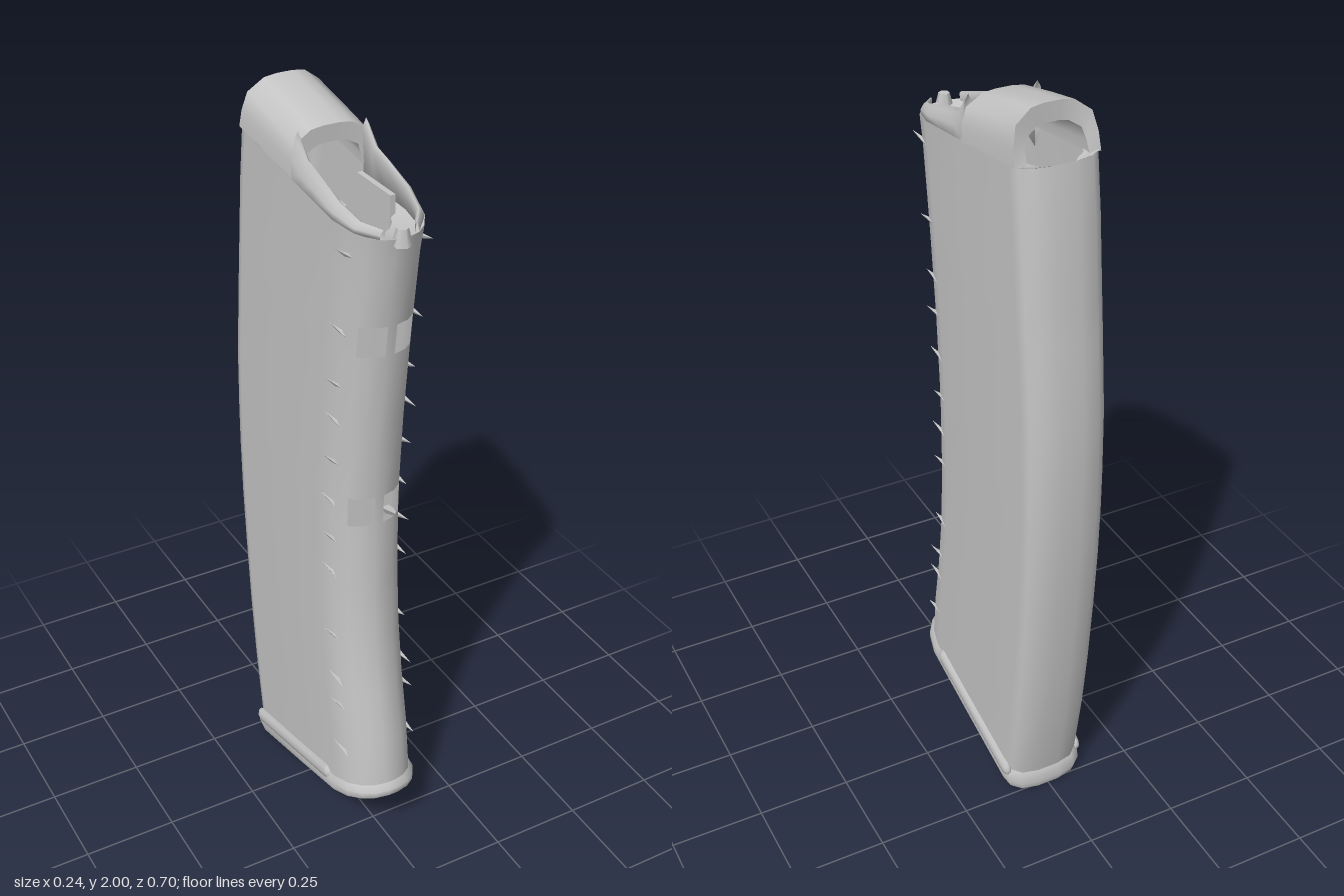
import * as THREE from 'three';

const polymer = new THREE.MeshStandardMaterial({ color: 0xc4c4c4, side: THREE.DoubleSide });
polymer.name = 'grey polymer';

// Surface through rows of [x, y, z] points
function grid(rows, closed = false, skip = () => false) {
  const n = rows[0].length, index = [];
  const cols = closed ? n : n - 1;
  for (let j = 0; j < rows.length - 1; j++) {
    for (let i = 0; i < cols; i++) {
      if (skip(j, i)) continue;
      const k = (i + 1) % n;
      const a = j * n + i, b = j * n + k, c = b + n, d = a + n;
      index.push(a, b, c, a, c, d);
    }
  }
  const g = new THREE.BufferGeometry();
  g.setAttribute('position', new THREE.Float32BufferAttribute(rows.flat(2), 3));
  g.setIndex(index);
  g.computeVertexNormals();
  return g;
}

// Half outline of the section, front to back: [x, depth from back 0 to front 1]
const HALF = [[0.012, 1], [0.045, 0.985], [0.072, 0.95], [0.095, 0.89], [0.107, 0.8],
  [0.108, 0.5], [0.107, 0.1], [0.1, 0.05], [0.075, 0.015], [0.03, 0]];
const OUTLINE = [...HALF, ...HALF.slice().reverse().map(([x, s]) => [-x, s])];

// Tilted section from [front z, front y, back z, back y, width scale]
const section = ([zf, yf, zb, yb, k = 1]) =>
  OUTLINE.map(([x, s]) => [x * k, yb + (yf - yb) * s, zb + (zf - zb) * s]);

const BODY = [
  [0.34, 0.18, -0.25, 0.04], [0.32, 0.34, -0.288, 0.26], [0.29, 0.48, -0.31, 0.44],
  [0.265, 0.64, -0.328, 0.64], [0.252, 0.82, -0.34, 0.8], [0.25, 1.0, -0.346, 0.95],
  [0.252, 1.08, -0.347, 1.06], [0.265, 1.29, -0.344, 1.235], [0.285, 1.49, -0.325, 1.45],
  [0.294, 1.57, -0.316, 1.54], [0.316, 1.74, -0.297, 1.74], [0.33, 1.8, -0.278, 1.88]];

// Front edge depth at a height
function frontZ(y) {
  const j = Math.max(1, BODY.findIndex((r) => r[1] >= y));
  const a = BODY[j - 1], b = BODY[j];
  return a[0] + (b[0] - a[0]) * (y - a[1]) / (b[1] - a[1]);
}
// Top edge of the side walls
const wallTop = (z) => 1.88 - 0.08 * (z + 0.278) / 0.608;

export function createModel() {
  const model = new THREE.Group();
  const add = (name, geometry, parent = model) => {
    const mesh = new THREE.Mesh(geometry, polymer);
    mesh.name = name;
    parent.add(mesh);
    return mesh;
  };

  // Curved hollow body with two pairs of front slots
  const last = OUTLINE.length - 1;
  const slot = (j, i) => (j === 5 || j === 8) && (i < 2 || (i >= last - 2 && i < last));
  add('body', grid(BODY.map(section), true, slot));

  // Flared base with a closed underside
  const baseRows = [[0.338, 0.21, -0.245, 0.07, 1], [0.352, 0.195, -0.256, 0.055, 1.07],
    [0.353, 0.178, -0.264, 0.025, 1.08], [0.34, 0.165, -0.257, 0.003, 1.02]];
  add('base', grid(baseRows.map(section), true));
  const bottom = section(baseRows[3]);
  add('baseUnderside', grid([bottom.map(([x, y, z]) => [0, y, z]), bottom]));

  // Rails along both sides of the base
  for (const side of [1, -1]) {
    const rail = add('baseRail', new THREE.CapsuleGeometry(0.022, 0.4, 3, 8));
    rail.scale.x = 0.6;
    rail.rotation.x = Math.PI / 2 - Math.atan2(0.11, 0.43);
    rail.position.set(side * 0.107, 0.117, -0.015);
  }

  // Arched roof at the rear of the top, open at both ends
  const ARCH = [[1, 0], [0.98, 0.35], [0.88, 0.72], [0.5, 0.96], [0.2, 1]];
  const arch = [...ARCH, ...ARCH.slice().reverse().map(([x, f]) => [-x, f])];
  const ring = (z, crown, lean, wide, high) => arch.map(([x, f]) => {
    const y0 = wallTop(z);
    return [x * 0.107 * wide, y0 + (crown - y0) * f * high, z + lean * f];
  });
  const slices = [[-0.248, 2.0, 0.03], [-0.12, 1.98, 0], [0.015, 1.95, -0.005]];
  const outer = slices.map((s) => ring(...s, 1, 1));
  const inner = slices.map((s) => ring(...s, 0.72, 0.62));
  const roof = new THREE.Group();
  roof.name = 'roof';
  model.add(roof);
  add('roofOuter', grid(outer.slice().reverse()), roof);
  add('roofInner', grid(inner), roof);
  add('roofRearRim', grid([outer[0], inner[0]]), roof);
  add('roofFrontRim', grid([inner[2], outer[2]]), roof);

  // Ledge joining the roof to the spine, notched in the middle
  for (const side of [1, -1]) {
    add('spineLedge', grid([
      [[side * 0.107, 1.878, -0.22], [side * 0.1, 1.88, -0.25], [side * 0.07, 1.88, -0.27], [side * 0.035, 1.88, -0.278]],
      [[side * 0.075, 1.876, -0.22], [side * 0.07, 1.876, -0.235], [side * 0.05, 1.87, -0.245], [side * 0.03, 1.86, -0.262]]]));
  }

  // Feed lips either side of the top opening: [z, half width, crown height]
  const LIPS = [[0.012, 0.107, 1.95], [0.055, 0.107, 1.9], [0.11, 0.107, 1.885],
    [0.2, 0.107, 1.855], [0.27, 0.09, 1.832], [0.315, 0.05, 1.822]];
  for (const side of [1, -1]) {
    const rows = LIPS.map(([z, w, top]) => {
      const y0 = wallTop(z), h = top - y0;
      return [[1, 0], [0.98, 0.4], [0.9, 0.85], [0.82, 1], [0.74, 0.8], [0.78, -0.5]]
        .map(([x, f]) => [side * w * x, y0 + h * f, z]);
    });
    add('feedLip', grid(rows, true));
    // Guide rib inside the opening
    add('guideRib', new THREE.BoxGeometry(0.014, 0.3, 0.15)).position.set(side * 0.062, 1.68, 0.105);
  }

  // Sloped shelf and nub at the front of the opening
  const topRing = section(BODY[BODY.length - 1]);
  const rim = [...topRing.slice(-5), ...topRing.slice(0, 5)];
  add('frontShelf', grid([rim, rim.map(([x, y, z]) => [x * 0.68, y - 0.03, z - 0.1])]));
  const nub = add('frontNub', new THREE.CylinderGeometry(0.014, 0.024, 0.04, 6));
  nub.position.set(0, 1.803, 0.325);

  // Small ribs along both front corners
  const RIBS = [0.3, 0.44, 0.52, 0.65, 0.85, 0.95, 1.06, 1.18, 1.3, 1.4, 1.55, 1.75];
  RIBS.forEach((y, i) => {
    for (const side of [1, -1]) {
      const cone = new THREE.ConeGeometry(0.014, 0.07 + 0.015 * (i % 3), 3).toNonIndexed();
      cone.computeVertexNormals();
      const rib = add('cornerRib', cone);
      rib.rotation.set(Math.PI / 2 - 0.2 * (i % 2), 0, -side * 0.12);
      rib.position.set(side * 0.097, y, frontZ(y) - 0.075);
    }
  });

  return model;
}
